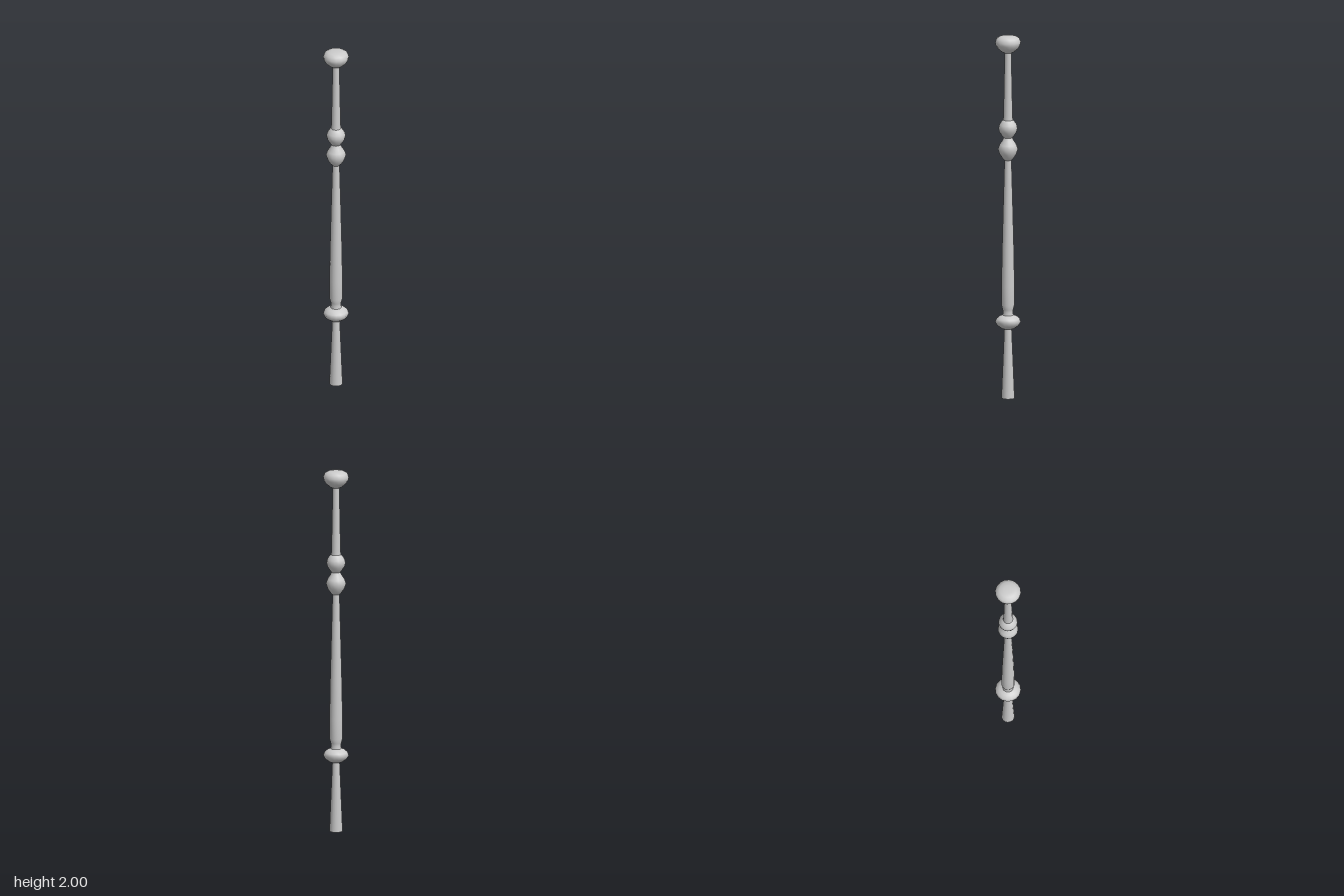
import * as THREE from 'three';

const SIDES = 16;

// Turned section from [radius, height] pairs, listed bottom to top
function turned(name, profile, material) {
  const points = profile.map(([r, y]) => new THREE.Vector2(r, y));
  const mesh = new THREE.Mesh(new THREE.LatheGeometry(points, SIDES), material);
  mesh.name = name;
  return mesh;
}

export function createModel() {
  const group = new THREE.Group();
  group.name = 'turnedSpindle';
  const material = new THREE.MeshStandardMaterial({ color: 0xcccccc });

  const sections = {
    // tapered foot
    foot: [[0.036, 0], [0.02, 0.385]],
    // wide flattened ring above the foot
    lowerRing: [[0.018, 0.38], [0.036, 0.386], [0.058, 0.402], [0.07, 0.422],
      [0.064, 0.438], [0.048, 0.452], [0.028, 0.459]],
    // long shaft, flaring above the ring and then tapering
    mainShaft: [[0.03, 0.455], [0.027, 0.475], [0.029, 0.49], [0.036, 0.515],
      [0.036, 0.62], [0.032, 0.83], [0.025, 1.1], [0.019, 1.315]],
    // pair of beads
    lowerBead: [[0.019, 1.313], [0.03, 1.324], [0.046, 1.348], [0.055, 1.376],
      [0.047, 1.398], [0.032, 1.42], [0.024, 1.437]],
    upperBead: [[0.024, 1.437], [0.034, 1.45], [0.047, 1.47], [0.052, 1.49],
      [0.048, 1.508], [0.036, 1.527], [0.026, 1.535]],
    // slim neck under the knob
    upperShaft: [[0.027, 1.53], [0.025, 1.56], [0.018, 1.91]],
    // rounded knob
    knob: [[0.017, 1.904], [0.034, 1.912], [0.055, 1.93], [0.067, 1.95],
      [0.07, 1.966], [0.063, 1.985], [0.045, 1.996], [0.022, 2], [0, 2]],
  };
  for (const [name, profile] of Object.entries(sections)) {
    group.add(turned(name, profile, material));
  }

  // flat underside of the foot
  const base = new THREE.Mesh(new THREE.CircleGeometry(0.036, SIDES), material);
  base.rotation.x = Math.PI / 2;
  base.name = 'footBase';
  group.add(base);

  return group;
}
